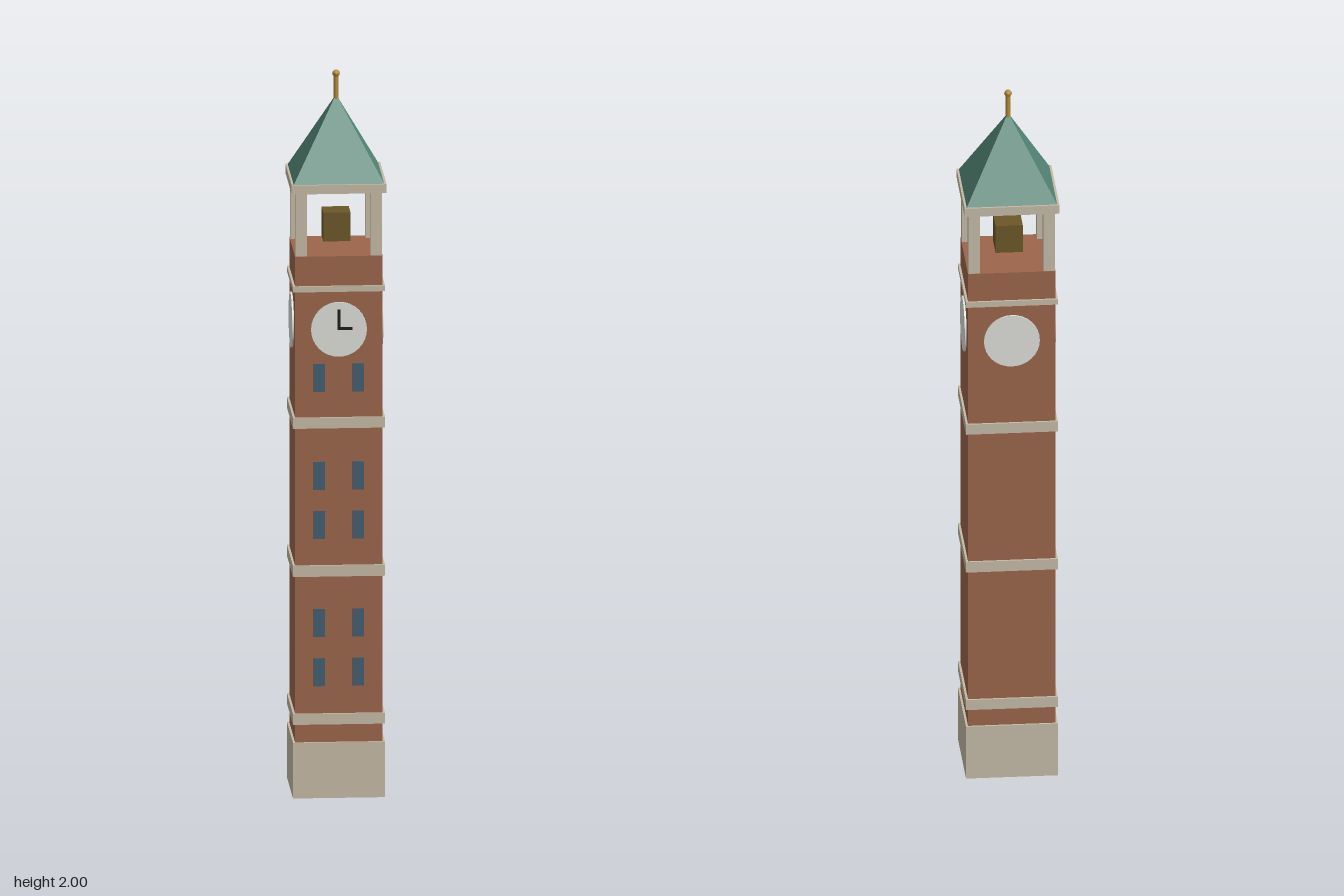
import * as THREE from 'three';

const mat = (name, color) => {
  const m = new THREE.MeshStandardMaterial({ color });
  m.name = name;
  return m;
};

export function createModel() {
  const brick = mat('brick', 0x9c664b);
  const stone = mat('stone', 0xc6bba7);
  const roofGreen = mat('roofGreen', 0x548676);
  const glass = mat('windowGlass', 0x435e70);
  const dial = mat('clockWhite', 0xdededa);
  const black = mat('handBlack', 0x1a1a1a);
  const gold = mat('gold', 0xb58a3a);
  const bronze = mat('bellBronze', 0x6b5828);
  roofGreen.flatShading = true;

  const tower = new THREE.Group();
  tower.name = 'clockTower';

  const add = (name, geometry, material, x, y, z) => {
    const mesh = new THREE.Mesh(geometry, material);
    mesh.name = name;
    mesh.position.set(x, y, z);
    tower.add(mesh);
    return mesh;
  };
  // Square block centred on the axis, between two heights
  const block = (name, material, half, y0, y1) =>
    add(name, new THREE.BoxGeometry(half * 2, y1 - y0, half * 2), material, 0, (y0 + y1) / 2, 0);

  // Plinth, shaft and stone string courses
  block('plinth', stone, 0.125, 0, 0.155);
  block('shaft', brick, 0.119, 0.155, 1.508);
  for (const [y0, y1] of [[0.205, 0.235], [0.617, 0.648], [1.03, 1.06], [1.41, 1.426]]) {
    block('stringCourse', stone, 0.125, y0, y1);
  }

  // Front windows in pairs
  for (const y of [0.35, 0.487, 0.76, 0.897, 1.17]) {
    for (const side of [-1, 1]) {
      add('window', new THREE.BoxGeometry(0.031, 0.078, 0.008), glass, side * 0.053, y, 0.118);
    }
  }

  // A clock dial on each side
  for (let i = 0; i < 4; i++) {
    const a = (i * Math.PI) / 2;
    const geometry = new THREE.CylinderGeometry(0.076, 0.076, 0.008, 32).rotateX(Math.PI / 2);
    const face = add('clockFace', geometry, dial, Math.sin(a) * 0.12, 1.305, Math.cos(a) * 0.12);
    face.rotation.y = a;
  }

  // Hands on the front dial
  add('minuteHand', new THREE.BoxGeometry(0.008, 0.056, 0.003), black, 0, 1.333, 0.1252);
  add('hourHand', new THREE.BoxGeometry(0.04, 0.008, 0.003), black, 0.016, 1.308, 0.1253);

  // Open belfry with corner posts and bell
  for (const x of [-0.102, 0.102]) {
    for (const z of [-0.102, 0.102]) {
      add('belfryPost', new THREE.BoxGeometry(0.031, 0.177, 0.031), stone, x, 1.5965, z);
    }
  }
  block('bell', bronze, 0.037, 1.53, 1.61);
  block('roofSlab', stone, 0.129, 1.684, 1.709);

  // Pyramid roof
  const roof = new THREE.ConeGeometry(0.123 * Math.SQRT2, 0.222, 4).rotateY(Math.PI / 4);
  add('roof', roof, roofGreen, 0, 1.82, 0);

  // Finial
  add('finialRod', new THREE.CylinderGeometry(0.007, 0.007, 0.08, 8), gold, 0, 1.95, 0);
  add('finialBall', new THREE.SphereGeometry(0.0105, 8, 6), gold, 0, 1.9895, 0);

  return tower;
}
